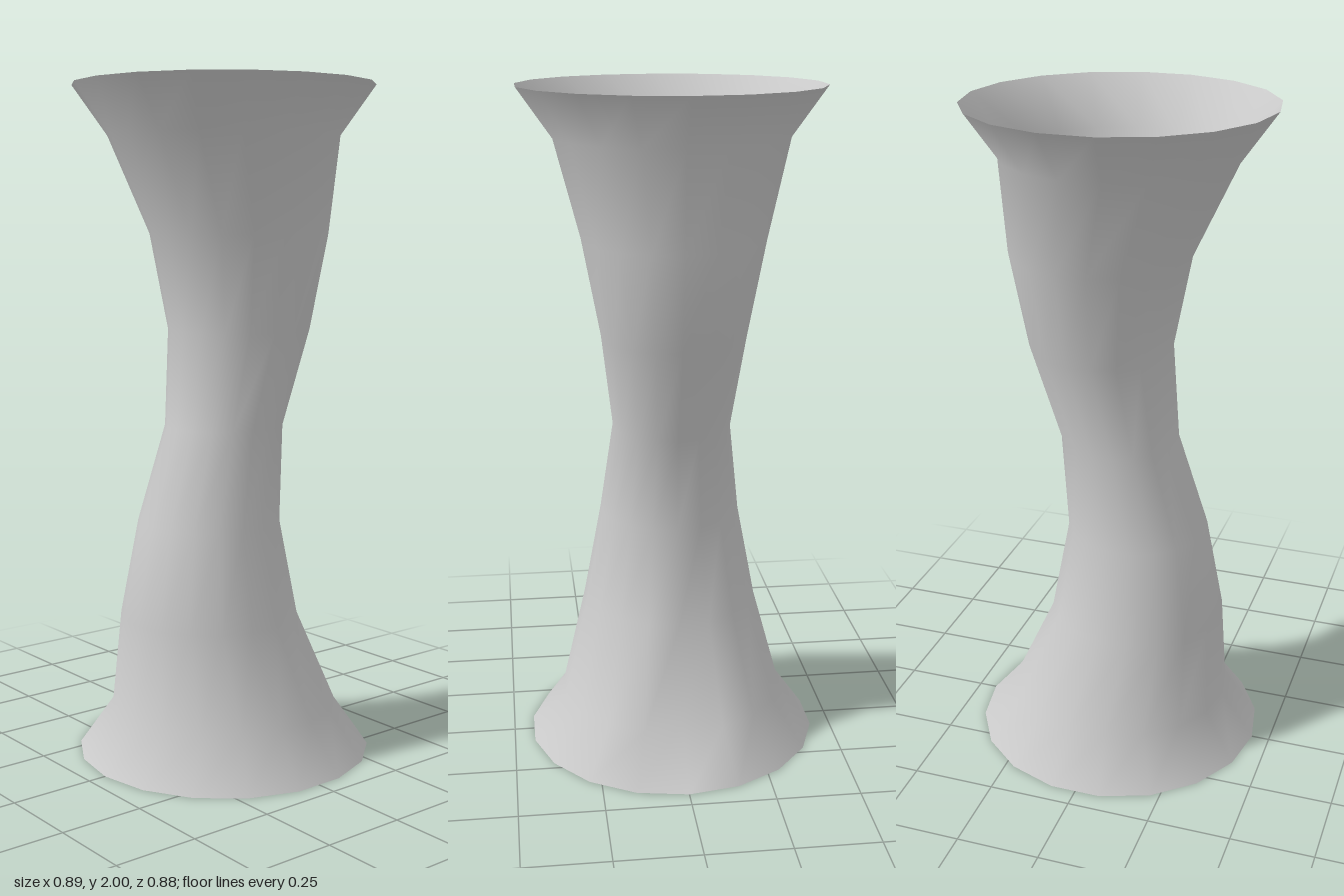
import * as THREE from 'three';

// Open hourglass tube whose axis sways once from side to side
export function createModel() {
  const sides = 18;
  const radii = [0.342, 0.267, 0.213, 0.177, 0.213, 0.267, 0.342];
  // each ring: height, radius, sideways shift
  const rings = [
    [0, 0.445, 0],
    ...radii.map((r, k) => [0.145 + 0.285 * k, r, -0.067 * Math.sin((Math.PI * k) / 3)]),
    [2, 0.445, 0],
  ];

  const positions = [];
  const indices = [];
  rings.forEach(([y, r, shift], j) => {
    for (let i = 0; i < sides; i++) {
      const a = (i / sides) * Math.PI * 2;
      // small dent above the bottom rim on the +x side
      const radius = j === 1 && i === 0 ? 0.275 : r;
      positions.push(shift + radius * Math.cos(a), y, radius * Math.sin(a));
      if (j < rings.length - 1) {
        const p = j * sides + i;
        const q = j * sides + ((i + 1) % sides);
        indices.push(p, p + sides, q, q, p + sides, q + sides);
      }
    }
  });

  const geometry = new THREE.BufferGeometry();
  geometry.setAttribute('position', new THREE.Float32BufferAttribute(positions, 3));
  geometry.setIndex(indices);
  geometry.computeVertexNormals();

  const wall = new THREE.Mesh(
    geometry,
    new THREE.MeshStandardMaterial({ color: 0xcccccc, side: THREE.DoubleSide })
  );
  wall.name = 'tubeWall';

  const group = new THREE.Group();
  group.name = 'swayingTube';
  group.add(wall);
  return group;
}
